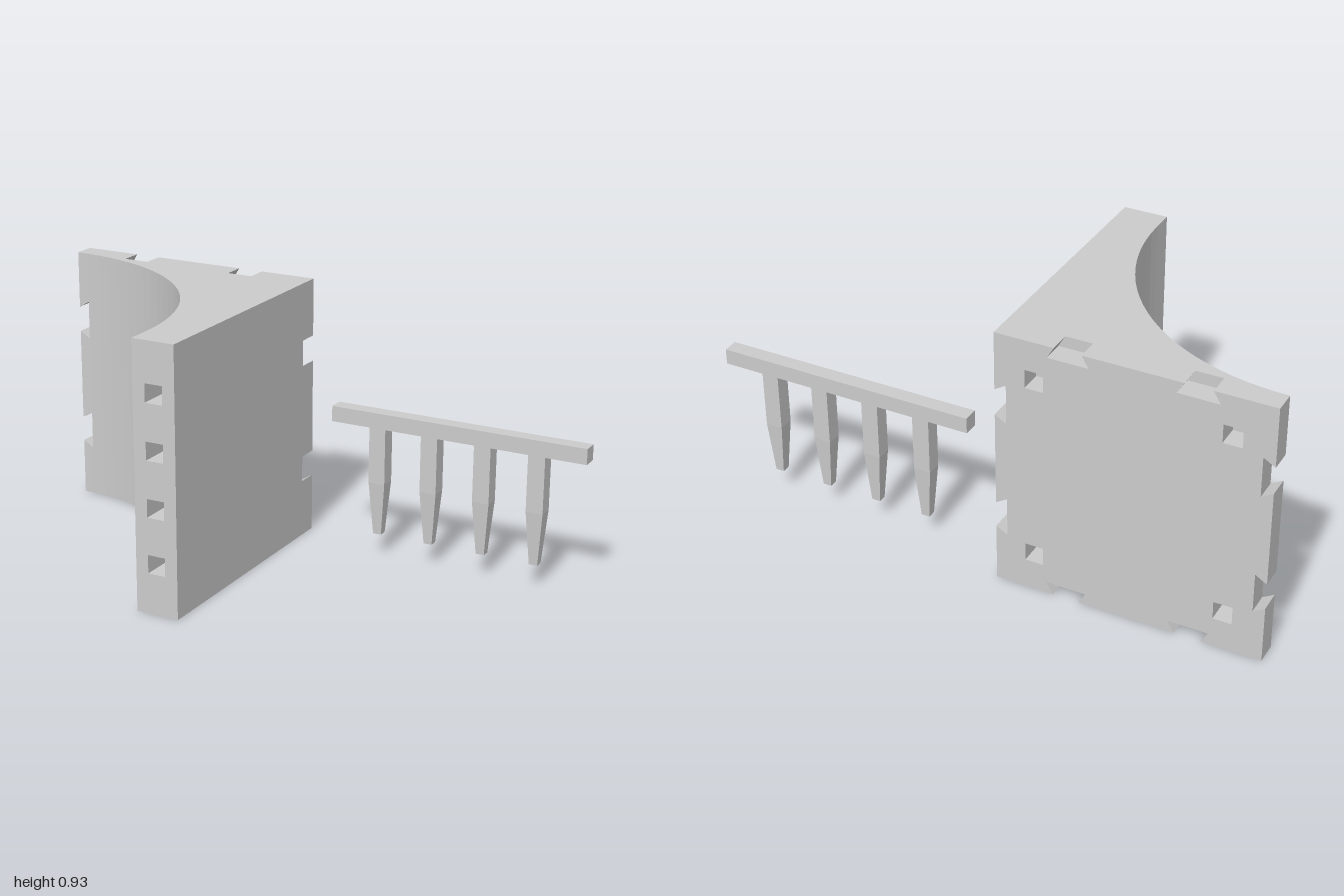
import * as THREE from 'three';
import { mergeGeometries } from 'three/addons/utils/BufferGeometryUtils.js';

const S = 0.927, H = S / 2;        // cube edge and half edge
const T = S / 12, R = S * 5 / 6;   // back plate thickness, cove radius
const CX = -1 + H;                 // block centre in x
const mat = new THREE.MeshStandardMaterial({ color: 0xcccccc, flatShading: true });

const V = (x, y, z) => new THREE.Vector3(x, y, z);
const X = V(1, 0, 0), Y = V(0, 1, 0), Z = V(0, 0, 1);
const neg = v => v.clone().negate();

// Local frame: (a, b) lie in the face, c runs along its outward normal
function frame(u, v, origin) {
  return new THREE.Matrix4().makeBasis(u, v, u.clone().cross(v)).setPosition(origin);
}

// Flat face from an outline with optional holes
function panel(f, pts, c = 0, holes = []) {
  const toV2 = list => list.map(p => new THREE.Vector2(p[0], p[1]));
  const shape = new THREE.Shape(toV2(pts));
  shape.holes = holes.map(h => new THREE.Path(toV2(h)));
  const g = new THREE.ShapeGeometry(shape).toNonIndexed();
  g.deleteAttribute('uv');
  g.deleteAttribute('normal');
  return g.translate(0, 0, c).applyMatrix4(f);
}

// Wall along a counter-clockwise polyline, facing outward, from c0 up to c1
function wall(f, pts, c0, c1) {
  const pos = [];
  for (let i = 0; i + 1 < pts.length; i++) {
    const [p, q] = [pts[i], pts[i + 1]];
    pos.push(...p, c0, ...q, c0, ...q, c1, ...p, c0, ...q, c1, ...p, c1);
  }
  const g = new THREE.BufferGeometry();
  g.setAttribute('position', new THREE.Float32BufferAttribute(pos, 3));
  return g.applyMatrix4(f);
}

const square = (a, b, h = 0.032) => [[a - h, b - h], [a + h, b - h], [a + h, b + h], [a - h, b + h]];
const closed = pts => [...pts, pts[0]];

// Sides and floor of a blind square socket
function socket(f, pts, depth) {
  return [wall(f, closed(pts).reverse(), -depth, 0), panel(f, pts, -depth)];
}

function makeBlock() {
  const parts = [];
  const mouth = 0.046, inner = 0.07, cut = 0.04, pitch = 0.213;

  // Back plate with two dovetail slots in each edge and four corner sockets
  const back = frame(neg(X), Y, V(CX, H, -H));
  const dovetail = c => [[c - mouth, -H], [c - inner, -H + cut], [c + inner, -H + cut], [c + mouth, -H]];
  const turn = (pts, k) => {
    for (let i = 0; i < k; i++) pts = pts.map(([a, b]) => [-b, a]);
    return pts;
  };
  const outline = [];
  for (let k = 0; k < 4; k++) {
    outline.push(...turn([[-H, -H], ...dovetail(-pitch), ...dovetail(pitch)], k));
    // Slots are blind except on the thin outer edge (k = 1)
    if (k !== 1) for (const c of [-pitch, pitch]) parts.push(panel(back, turn(dovetail(c), k), -T));
  }
  const o = H - 0.137;
  const corners = [[-o, -o], [o, -o], [o, o], [-o, o]].map(([a, b]) => square(a, b));
  parts.push(panel(back, outline, 0, corners), wall(back, closed(outline), -T, 0));
  corners.forEach(h => parts.push(...socket(back, h, T)));

  // Coved profile, seen from above
  const arc = [], start = Math.asin(cut / R), n = 24;
  const onArc = t => [-H + R * Math.sin(t), -H + T + R * Math.cos(t)];
  for (let i = 0; i <= n; i++) arc.push(onArc(start + (Math.PI / 2 - start) * i / n));
  arc.push([-H + R, -H]);
  const profile = [[-H, H - T], ...arc, [H, -H], [H, H - T]];
  const top = frame(X, neg(Z), V(CX, S, 0));
  const bottom = frame(X, Z, V(CX, 0, 0));
  parts.push(panel(top, profile), panel(bottom, profile.map(([a, b]) => [a, -b])));
  parts.push(wall(top, arc, -S, 0), wall(top, [[H, -H], [H, H - T]], -S, 0));

  // Thin front strip of the plate, broken by the open slots
  const thin = frame(X, Y, V(CX, H, -H + T));
  const m0 = pitch - mouth, m1 = pitch + mouth, i0 = pitch - inner, i1 = pitch + inner;
  for (const [p, q, r, s] of [[-H, -H, -i1, -m1], [-m0, -i0, i0, m0], [m1, i1, H, H]])
    parts.push(panel(thin, [[-H, p], [-H + cut, q], [-H + cut, r], [-H, s]]));

  // Narrow front face with a column of deep sockets
  const front = frame(X, Y, V(CX, H, H));
  const column = [-0.29, -0.097, 0.097, 0.29].map(b => square(H - T, b));
  parts.push(panel(front, [[-H + R, -H], [H, -H], [H, H], [-H + R, H]], 0, column));
  column.forEach(h => parts.push(...socket(front, h, 0.4)));

  const g = mergeGeometries(parts);
  g.computeVertexNormals();
  const mesh = new THREE.Mesh(g, mat);
  mesh.name = 'covedBlock';
  return mesh;
}

// Bar with four tapered pegs
function makeComb() {
  const comb = new THREE.Group();
  comb.name = 'pegComb';
  const w = 0.055;
  const bar = new THREE.Mesh(new THREE.BoxGeometry(S, w, w), mat);
  bar.name = 'combBar';
  bar.position.y = 0.497;
  comb.add(bar);

  const g = new THREE.BoxGeometry(0.06, 2, w, 1, 2, 1);
  const p = g.attributes.position;
  for (let i = 0; i < p.count; i++) {
    const y = p.getY(i);
    if (y < -0.5) p.setXYZ(i, Math.sign(p.getX(i)) * 0.015, 0.08, Math.sign(p.getZ(i)) * 0.015);
    else p.setY(i, y > 0.5 ? 0.47 : 0.27);
  }
  g.computeVertexNormals();
  for (const x of [-0.29, -0.097, 0.097, 0.29]) {
    const peg = new THREE.Mesh(g, mat);
    peg.name = 'peg';
    peg.position.x = x;
    comb.add(peg);
  }
  comb.position.set(1 - H, 0, -0.358);
  return comb;
}

export function createModel() {
  const model = new THREE.Group();
  model.name = 'coveBlockAndComb';
  model.add(makeBlock(), makeComb());
  return model;
}
